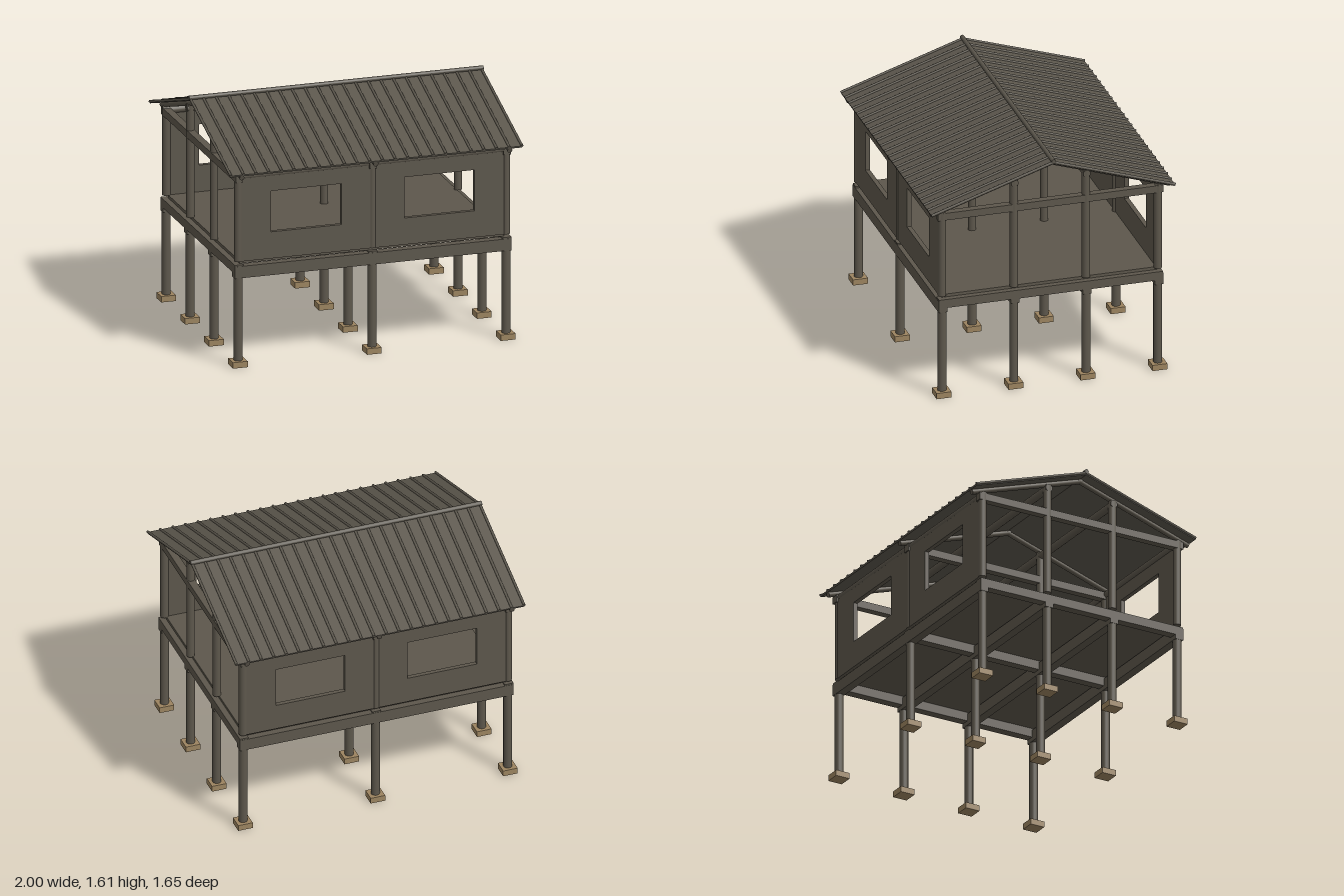
import * as THREE from 'three';

export function createModel() {
  const model = new THREE.Group();
  model.name = 'stiltHouse';

  const mat = (name, color) => {
    const m = new THREE.MeshStandardMaterial({ color });
    m.name = name;
    return m;
  };
  const wood = mat('dark timber', 0x5d574c);
  const roofing = mat('roof sheet', 0x5b564c);
  const stone = mat('footing tan', 0x9c8460);

  const add = (parent, name, geo, material, x = 0, y = 0, z = 0) => {
    const mesh = new THREE.Mesh(geo, material);
    mesh.name = name;
    mesh.position.set(x, y, z);
    parent.add(mesh);
    return mesh;
  };
  const box = (parent, name, material, w, h, d, x, y, z) =>
    add(parent, name, new THREE.BoxGeometry(w, h, d), material, x, y, z);
  const post = (name, r, y0, y1, x, z) =>
    add(model, name, new THREE.CylinderGeometry(r, r, y1 - y0, 16), wood, x, (y0 + y1) / 2, z);

  const postX = [-0.91, 0, 0.91];
  const postZ = [-0.728, -0.243, 0.243, 0.728];

  // Footings, stilts and upper posts
  for (const x of postX) {
    for (const z of postZ) {
      const outer = Math.abs(z) > 0.5;
      box(model, 'footing', stone, 0.1, 0.04, 0.1, x, 0.02, z);
      post('stilt', 0.029, 0.04, 0.66, x, z);
      post('upperPost', 0.027, 0.71, outer ? 1.3 : 1.475, x, z);
    }
  }

  // Floor frame and floor
  for (const z of postZ) {
    box(model, 'floorBeam', wood, 1.88, 0.08, 0.058, 0, 0.64, z);
  }
  for (const x of postX) {
    box(model, 'crossBeam', wood, 0.06, 0.06, 1.51, x, 0.66, 0);
    box(model, 'tieBeam', wood, 0.05, 0.05, 1.52, x, 1.275, 0);
  }
  box(model, 'floor', wood, 1.8, 0.02, 1.45, 0, 0.7, 0);

  // Round purlins along the eaves and over the inner posts
  for (const z of postZ) {
    const y = Math.abs(z) > 0.5 ? 1.285 : 1.45;
    const purlin = add(model, 'purlin', new THREE.CylinderGeometry(0.025, 0.025, 1.87, 16), wood, 0, y, z);
    purlin.rotation.z = Math.PI / 2;
  }

  // Long walls, each with two window openings
  const rect = (Type, x0, x1, y0, y1) =>
    new Type([[x0, y0], [x1, y0], [x1, y1], [x0, y1]].map(p => new THREE.Vector2(...p)));
  const wallShape = rect(THREE.Shape, -0.91, 0.91, 0.71, 1.275);
  for (const cx of [-0.453, 0.453]) {
    wallShape.holes.push(rect(THREE.Path, cx - 0.238, cx + 0.238, 0.89, 1.167));
  }
  const wallGeo = new THREE.ExtrudeGeometry(wallShape, { depth: 0.03, bevelEnabled: false });
  add(model, 'frontWall', wallGeo, wood, 0, 0, 0.718);
  add(model, 'backWall', wallGeo, wood, 0, 0, -0.748);

  // Roof slopes: local +z runs down the slope, local y is the slope normal
  const pitch = Math.atan(0.327);
  const len = 0.825 / Math.cos(pitch);
  for (const turn of [0, Math.PI]) {
    const side = new THREE.Group();
    side.name = turn ? 'backRoof' : 'frontRoof';
    side.rotation.y = turn;
    const slope = new THREE.Group();
    slope.name = 'slope';
    slope.position.y = 1.602;
    slope.rotation.x = pitch;
    side.add(slope);
    model.add(side);

    box(slope, 'roofSheet', roofing, 1.98, 0.012, len, 0, -0.018, len / 2);
    for (let i = 0; i < 24; i++) {
      const rib = add(slope, 'roofRib', new THREE.CylinderGeometry(0.009, 0.009, len, 10),
        roofing, -0.989 + i * 0.086, -0.011, len / 2);
      rib.rotation.x = Math.PI / 2;
    }
    for (const x of postX) {
      const rafter = add(slope, 'rafter', new THREE.CylinderGeometry(0.017, 0.017, len, 16),
        wood, x, -0.04, len / 2 - 0.003);
      rafter.rotation.x = Math.PI / 2;
    }
  }

  // Ridge cap
  const ridge = add(model, 'ridgeCap', new THREE.CylinderGeometry(0.015, 0.015, 2, 12), roofing, 0, 1.598, 0);
  ridge.rotation.z = Math.PI / 2;

  return model;
}
